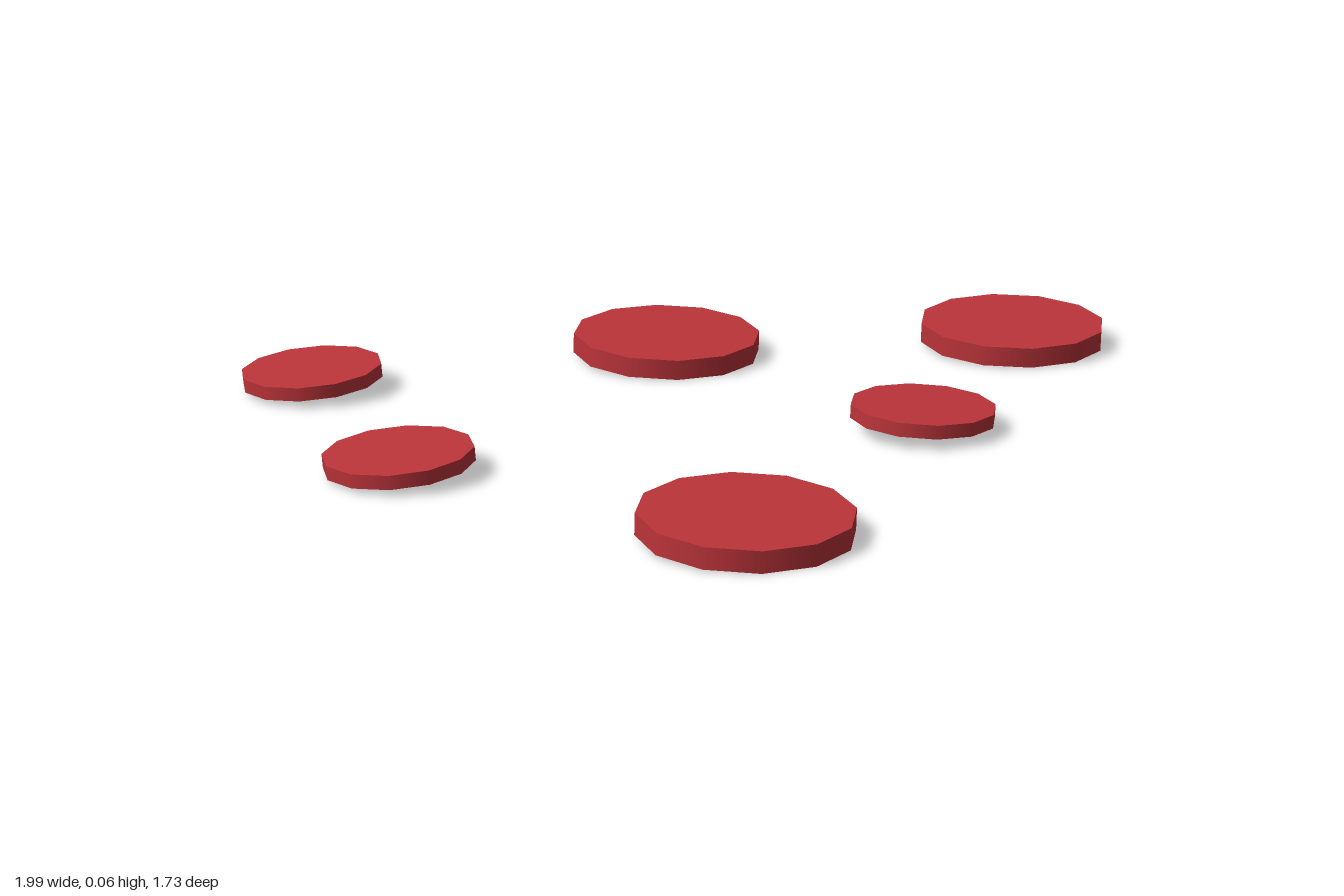
import * as THREE from 'three';

// Each disc: name, radius, thickness, centre [x, y, z], turn, tilt about x, tilt about z
const DISCS = [
  ['largeDiscFront', 0.215, 0.045, [-0.03, 0.035, 0.65], 0, 0.04, -0.02],
  ['largeDiscBack', 0.215, 0.045, [-0.03, 0.035, -0.65], 0, 0.04, -0.02],
  ['largeDiscBackLeft', 0.215, 0.045, [0.78, 0.036, -0.64], 0, 0.04, -0.005],
  ['smallDiscBackRight', 0.157, 0.03, [-0.843, 0.039, -0.48], -0.2, 0.02, 0.065],
  ['smallDiscRight', 0.157, 0.03, [-0.675, 0.037, 0.16], -0.16, 0.02, 0.065],
  ['smallDiscLeft', 0.157, 0.03, [0.443, 0.043, 0], 0, 0.005, -0.04],
];

export function createModel() {
  const group = new THREE.Group();
  group.name = 'scatteredDiscs';
  const red = new THREE.MeshStandardMaterial({ color: 0xbc343a });
  red.name = 'red';

  // Twelve-sided discs lying almost flat
  for (const [name, radius, thickness, position, turn, tiltX, tiltZ] of DISCS) {
    const geometry = new THREE.CylinderGeometry(radius, radius, thickness, 12);
    geometry.rotateY(turn);
    const disc = new THREE.Mesh(geometry, red);
    disc.name = name;
    disc.position.set(...position);
    disc.rotation.set(tiltX, 0, tiltZ);
    group.add(disc);
  }
  return group;
}
